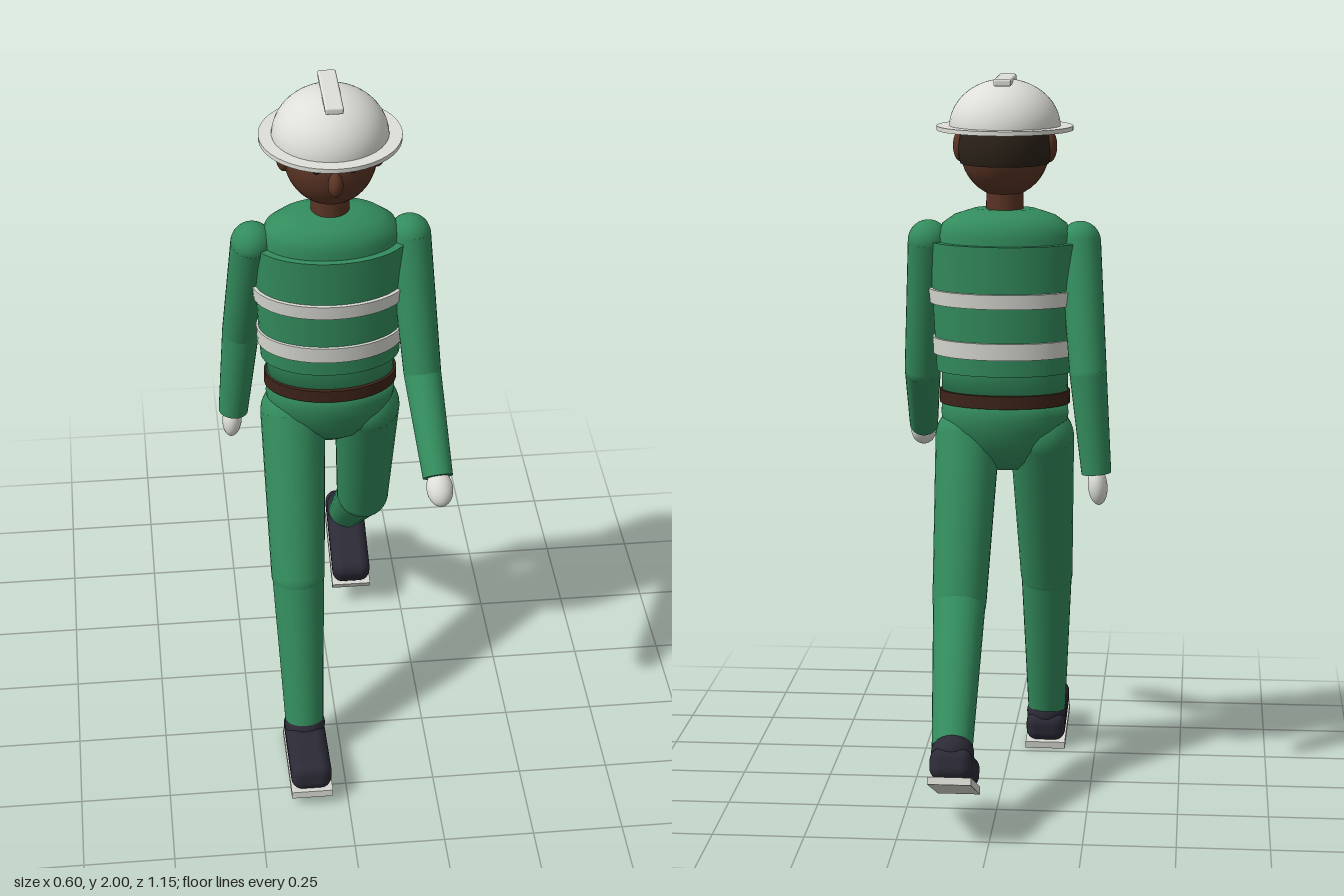
import * as THREE from 'three';
import { RoundedBoxGeometry } from 'three/addons/geometries/RoundedBoxGeometry.js';

const mat = (name, color, side = THREE.FrontSide) => {
  const m = new THREE.MeshStandardMaterial({ color, side });
  m.name = name;
  return m;
};

export function createModel() {
  const root = new THREE.Group();
  root.name = 'walkingWorker';

  const green = mat('work green', 0x338c5d);
  const white = mat('helmet white', 0xdedfd8);
  const band = mat('reflective grey', 0xd8d8d2);
  const skin = mat('skin brown', 0x5a3424);
  const hairMat = mat('hair dark brown', 0x2a2118, THREE.DoubleSide);
  const belt = mat('belt brown', 0x3e2419);
  const boot = mat('boot navy', 0x2b2a36);
  const eyeMat = mat('eye dark', 0x20222e);

  const CZ = 0.045; // body axis
  const V = (x, y, z) => new THREE.Vector3(x, y, z);

  const add = (name, geo, material, x = 0, y = 0, z = 0, parent = root) => {
    const m = new THREE.Mesh(geo, material);
    m.name = name;
    m.position.set(x, y, z);
    parent.add(m);
    return m;
  };
  const ball = (name, material, p, rx, ry = rx, rz = rx, parent = root) => {
    const m = add(name, new THREE.SphereGeometry(1, 28, 20), material, p.x, p.y, p.z, parent);
    m.scale.set(rx, ry, rz);
    return m;
  };
  // Oval body section from [radius, height] pairs, listed bottom to top
  const oval = (name, material, pts, depth) => {
    const geo = new THREE.LatheGeometry(pts.map(p => new THREE.Vector2(p[0], p[1])), 40);
    return add(name, geo.scale(1, 1, depth), material, 0, 0, CZ);
  };
  // Straight sided oval section with flat ends
  const ovalBand = (name, material, r0, r1, y0, y1, depth) => {
    const geo = new THREE.CylinderGeometry(r1, r0, y1 - y0, 40);
    return add(name, geo.scale(1, 1, depth), material, 0, (y0 + y1) / 2, CZ);
  };
  const segment = (name, material, a, b, ra, rb) => {
    const d = b.clone().sub(a);
    const mid = a.clone().add(b).multiplyScalar(0.5);
    const m = add(name, new THREE.CylinderGeometry(rb, ra, d.length(), 28), material, mid.x, mid.y, mid.z);
    m.quaternion.setFromUnitVectors(V(0, 1, 0), d.normalize());
    return m;
  };

  // Torso, vest and pelvis
  oval('torso', green, [[0, 1.1], [0.175, 1.1], [0.177, 1.2], [0.187, 1.52], [0.185, 1.57],
    [0.172, 1.6], [0.14, 1.623], [0.085, 1.641], [0, 1.642]], 0.63);
  ovalBand('vest', green, 0.19, 0.209, 1.19, 1.55, 0.645);
  ovalBand('lowerStripe', band, 0.199, 0.201, 1.238, 1.284, 0.67);
  ovalBand('upperStripe', band, 0.208, 0.212, 1.38, 1.42, 0.665);
  ovalBand('belt', belt, 0.182, 0.182, 1.1, 1.136, 0.67);
  oval('pelvis', green, [[0, 0.905], [0.05, 0.91], [0.095, 0.935], [0.14, 0.975],
    [0.172, 1.03], [0.178, 1.07], [0.174, 1.12], [0, 1.12]], 0.67);

  // Head
  add('neck', new THREE.CylinderGeometry(0.05, 0.052, 0.12, 24), skin, 0, 1.67, 0.043);
  ball('head', skin, V(0, 1.805, 0.046), 0.123, 0.132, 0.13);
  ball('nose', skin, V(0, 1.793, 0.185), 0.02, 0.033, 0.027);
  const hair = add('hair', new THREE.SphereGeometry(1, 28, 20, Math.PI, Math.PI, 0, 1.86),
    hairMat, 0, 1.805, 0.042);
  hair.scale.set(0.127, 0.136, 0.131);
  for (const s of [-1, 1]) {
    ball('ear', skin, V(s * 0.122, 1.812, 0.052), 0.021, 0.044, 0.034);
    ball('eye', eyeMat, V(s * 0.046, 1.832, 0.162), 0.014, 0.018, 0.009);
  }

  // Hard hat
  const dome = add('helmetDome', new THREE.SphereGeometry(1, 40, 20, 0, Math.PI * 2, 0, Math.PI / 2),
    white, 0, 1.862, 0.047);
  dome.scale.set(0.153, 0.132, 0.153);
  add('helmetBrim', new THREE.CylinderGeometry(0.187, 0.187, 0.012, 48), white, 0, 1.862, 0.047);
  add('helmetRidge', new RoundedBoxGeometry(0.048, 0.02, 0.21, 3, 0.006), white, 0, 1.99, 0.052);

  // Arms: the left swings forward, the right swings back
  const arms = [
    { side: 'left', shoulder: V(0.212, 1.55, 0.048), elbow: V(0.241, 1.17, 0.148),
      wrist: V(0.261, 0.967, 0.352), hand: V(0.264, 0.943, 0.372), size: [0.036, 0.05, 0.034] },
    { side: 'right', shoulder: V(-0.208, 1.55, 0.048), elbow: V(-0.237, 1.2, -0.058),
      wrist: V(-0.262, 0.925, -0.072), hand: V(-0.266, 0.89, -0.075), size: [0.027, 0.053, 0.036] },
  ];
  for (const a of arms) {
    ball(a.side + 'Shoulder', green, a.shoulder, 0.057);
    segment(a.side + 'UpperArm', green, a.shoulder, a.elbow, 0.057, 0.051);
    ball(a.side + 'Elbow', green, a.elbow, 0.051);
    segment(a.side + 'Forearm', green, a.elbow, a.wrist, 0.051, 0.041);
    const glove = ball(a.side + 'Glove', white, a.hand, ...a.size);
    const dir = a.elbow.clone().sub(a.wrist).normalize();
    glove.quaternion.setFromUnitVectors(V(0, 1, 0), dir);
  }

  // Legs: the right steps forward, the left pushes off behind
  const legs = [
    { side: 'right', hip: V(-0.104, 1.0, 0.05), knee: V(-0.108, 0.56, 0.222),
      ankle: V(-0.103, 0.12, 0.338), foot: V(-0.102, 0.02, 0.428), tilt: -0.1 },
    { side: 'left', hip: V(0.104, 1.0, 0.04), knee: V(0.113, 0.565, -0.127),
      ankle: V(0.103, 0.25, -0.45), foot: V(0.1, 0.128, -0.437), tilt: 0.425 },
  ];
  for (const l of legs) {
    ball(l.side + 'Hip', green, l.hip, 0.09);
    segment(l.side + 'Thigh', green, l.hip, l.knee, 0.09, 0.075);
    ball(l.side + 'Knee', green, l.knee, 0.075);
    segment(l.side + 'Shin', green, l.knee, l.ankle, 0.073, 0.055);

    const shoe = new THREE.Group();
    shoe.name = l.side + 'Boot';
    shoe.position.copy(l.foot);
    shoe.rotation.x = l.tilt;
    root.add(shoe);
    add('sole', new THREE.BoxGeometry(0.116, 0.02, 0.302), band, 0, 0.01, 0, shoe);
    add('upper', new RoundedBoxGeometry(0.114, 0.085, 0.298, 5, 0.032), boot, 0, 0.058, 0.001, shoe);
    ball('collar', boot, V(0, 0.09, -0.08), 0.058, 0.052, 0.062, shoe);
  }
  return root;
}
